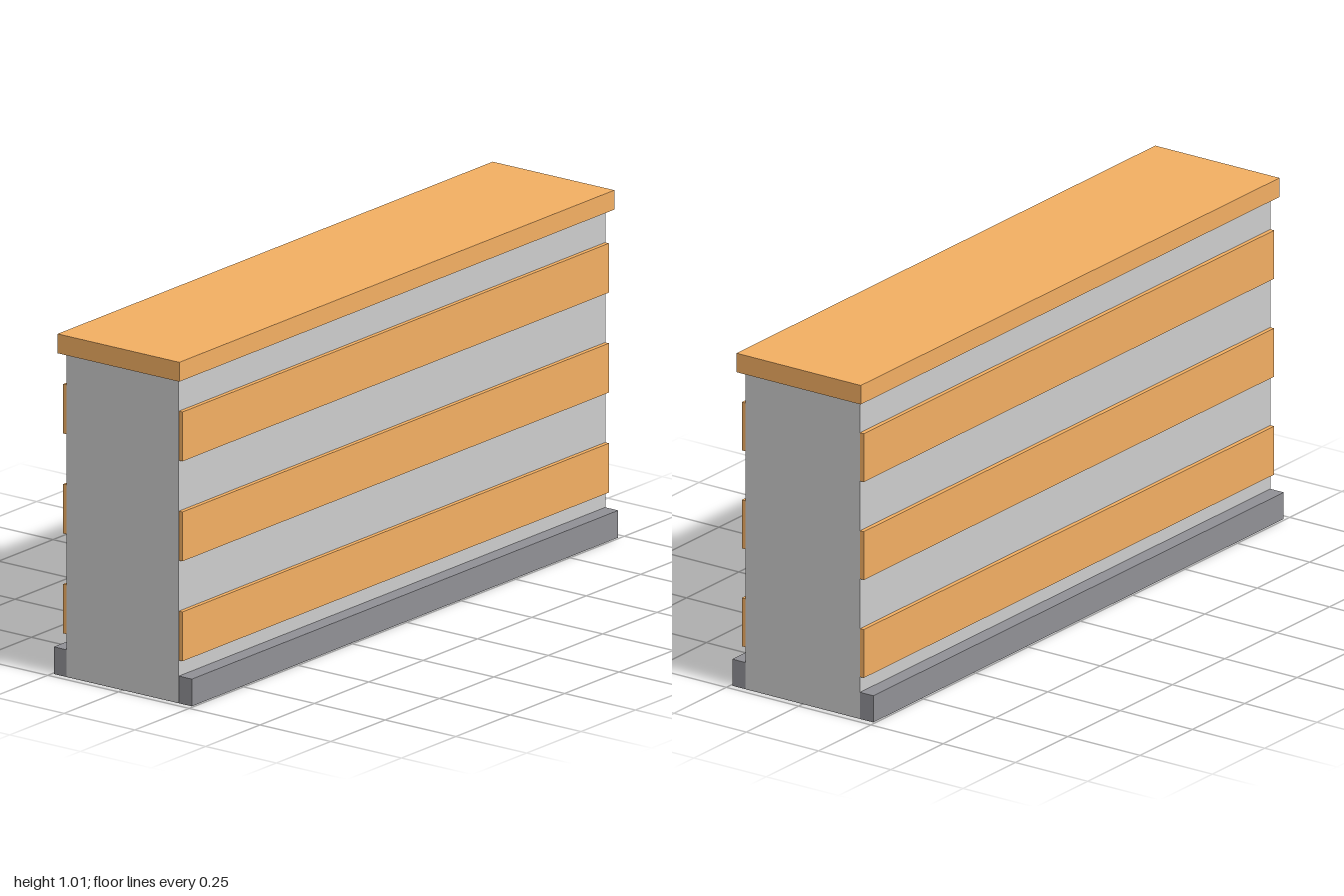
import * as THREE from 'three';

const grey = new THREE.MeshStandardMaterial({ color: 0xcccccc });
const dark = new THREE.MeshStandardMaterial({ color: 0x909095 });
const wood = new THREE.MeshStandardMaterial({ color: 0xf2ae62 });

// Box named by part, placed by its bottom and top heights
function box(name, material, width, bottom, top, depth, z = 0) {
  const mesh = new THREE.Mesh(new THREE.BoxGeometry(width, top - bottom, depth), material);
  mesh.name = name;
  mesh.position.set(0, (bottom + top) / 2, z);
  return mesh;
}

export function createModel() {
  const group = new THREE.Group();
  group.name = 'counter';

  // Plinth, with the body a hair wider so the end faces stay clean
  group.add(box('plinth', dark, 1.96, 0, 0.08, 0.488));
  group.add(box('body', grey, 1.962, 0.002, 0.954, 0.396));

  // Overhanging top board
  group.add(box('countertop', wood, 2, 0.954, 1.011, 0.43));

  // Three horizontal slats on the front and on the back
  for (const side of [1, -1]) {
    for (let i = 0; i < 3; i++) {
      const bottom = 0.126 + i * 0.294;
      const name = side > 0 ? 'frontSlat' : 'backSlat';
      group.add(box(name, wood, 1.96, bottom, bottom + 0.145, 0.014, side * 0.204));
    }
  }
  return group;
}
